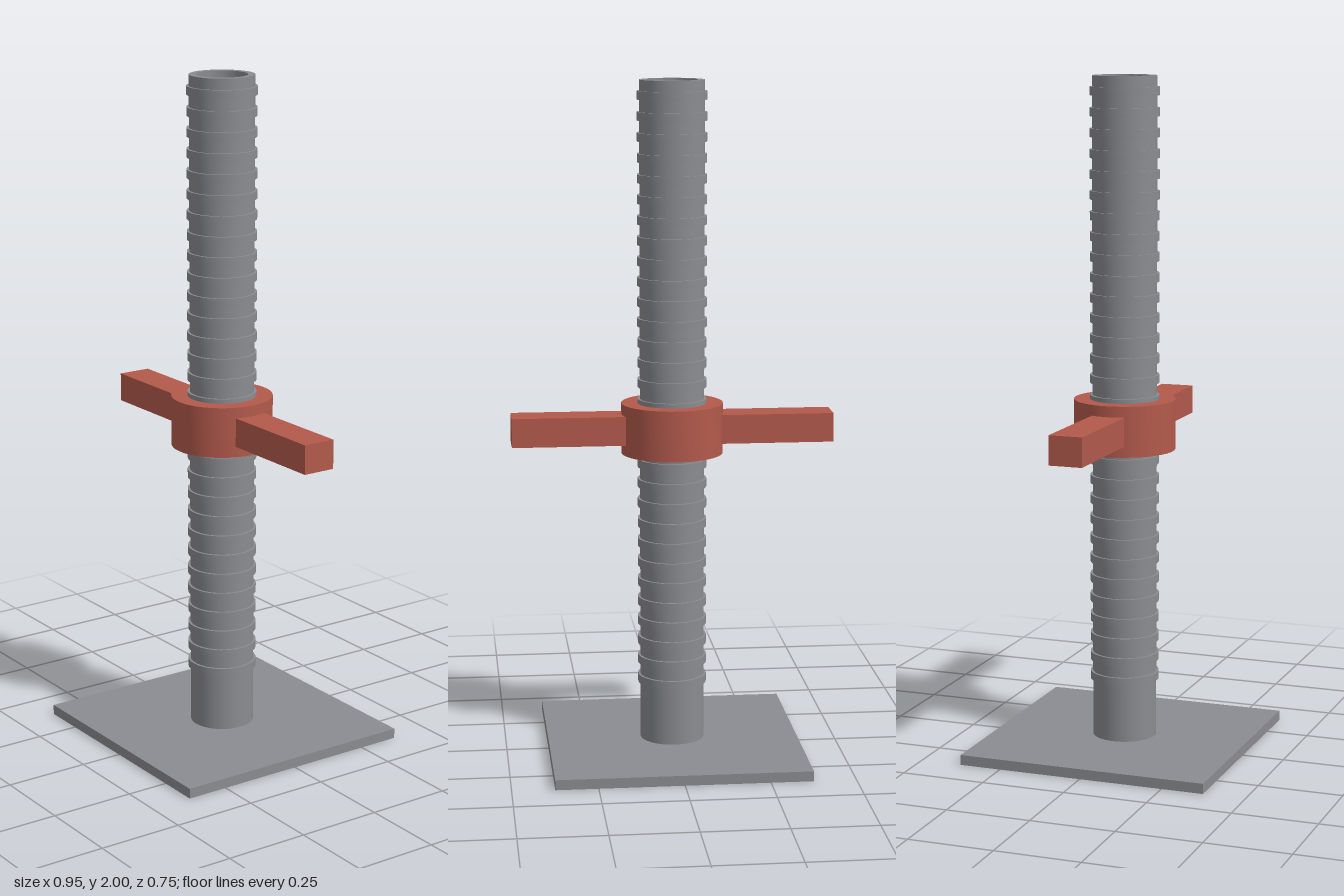
import * as THREE from 'three';
import { toCreasedNormals } from 'three/addons/utils/BufferGeometryUtils.js';

const SEGMENTS = 48;

// Hollow ring with a rectangular section, sharp rims and smooth walls
function ringGeometry(inner, outer, y0, y1) {
  const profile = [[inner, y0], [outer, y0], [outer, y1], [inner, y1], [inner, y0]]
    .map(([r, y]) => new THREE.Vector2(r, y));
  return toCreasedNormals(new THREE.LatheGeometry(profile, SEGMENTS), 0.6);
}

export function createModel() {
  const model = new THREE.Group();
  model.name = 'screwJack';

  const steel = new THREE.MeshStandardMaterial({ color: 0x8b8c91 });
  steel.name = 'grey steel';
  const red = new THREE.MeshStandardMaterial({ color: 0xb35a4c });
  red.name = 'red paint';

  const add = (name, geometry, material, parent = model) => {
    const mesh = new THREE.Mesh(geometry, material);
    mesh.name = name;
    parent.add(mesh);
    return mesh;
  };

  // Square foot
  add('basePlate', new THREE.BoxGeometry(0.75, 0.03, 0.75), steel).position.y = 0.015;

  // Hollow shaft, open at the top
  add('tube', ringGeometry(0.075, 0.095, 0.03, 2), steel);

  // Evenly spaced thread ribs
  const thread = new THREE.Group();
  thread.name = 'thread';
  model.add(thread);
  const ribGeometry = ringGeometry(0.094, 0.102, 0, 0.025);
  for (let i = 0; i < 30; i++) {
    add('threadRib', ribGeometry, steel, thread).position.y = 0.203 + i * 0.06;
  }

  // Adjusting nut with two handles
  const nut = new THREE.Group();
  nut.name = 'adjustingNut';
  model.add(nut);
  add('collar', ringGeometry(0.1, 0.15, 0.905, 1.055), red, nut);
  for (const side of [-1, 1]) {
    const handle = add(side > 0 ? 'leftHandle' : 'rightHandle',
      new THREE.BoxGeometry(0.335, 0.086, 0.1), red, nut);
    handle.position.set(side * 0.3075, 0.98, 0);
  }

  return model;
}
